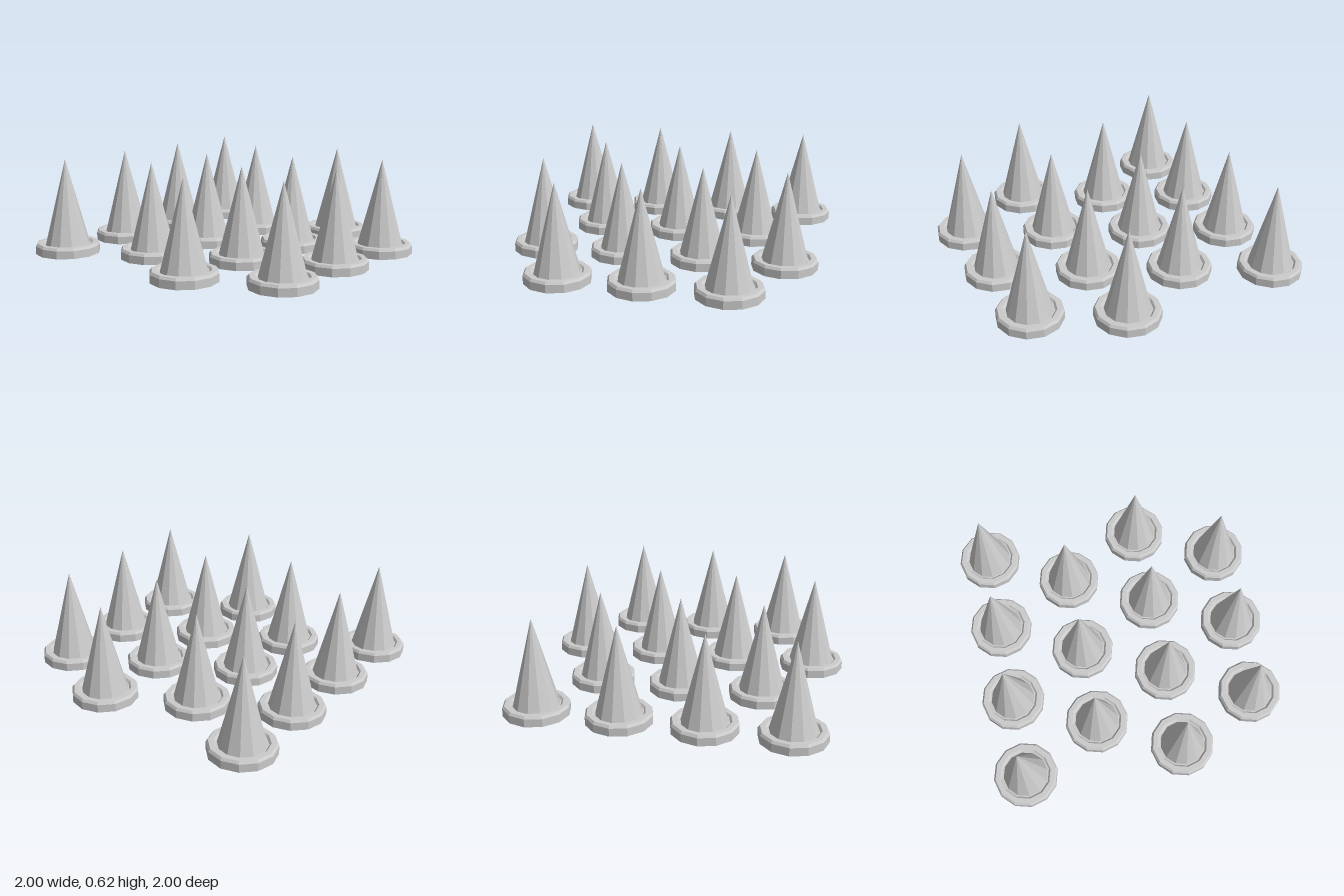
import * as THREE from 'three';

const SIDES = 12;
const SPACING = 0.526;

export function createModel() {
  const group = new THREE.Group();
  group.name = 'spikeField';
  const material = new THREE.MeshStandardMaterial({ color: 0xcccccc, flatShading: true });

  // Spike: a tall faceted cone, sunk into its base ring
  const bottom = 0.03, tip = 0.615;
  const spikeGeometry = new THREE.ConeGeometry(0.152, tip - bottom, SIDES);
  spikeGeometry.translate(0, (tip + bottom) / 2, 0);

  // Base ring: bevelled rim with a recessed underside
  const profile = [
    [0, 0.03], [0.163, 0.03], [0.2, 0], [0.21, 0], [0.21, 0.052],
    [0.198, 0.068], [0.166, 0.068], [0.154, 0.055], [0.14, 0.055],
  ].map(([r, y]) => new THREE.Vector2(r, y));
  const ringGeometry = new THREE.LatheGeometry(profile, SIDES);

  // Staggered rows of four and three spikes, from back to front
  for (let row = 0; row < 4; row++) {
    const count = row % 2 === 0 ? 4 : 3;
    for (let i = 0; i < count; i++) {
      const unit = new THREE.Group();
      unit.name = `spikeUnit${row + 1}_${i + 1}`;
      const spike = new THREE.Mesh(spikeGeometry, material);
      spike.name = 'spike';
      const ring = new THREE.Mesh(ringGeometry, material);
      ring.name = 'baseRing';
      unit.add(spike, ring);
      unit.position.set((i - (count - 1) / 2) * SPACING, 0, (row - 1.5) * SPACING);
      group.add(unit);
    }
  }
  return group;
}
